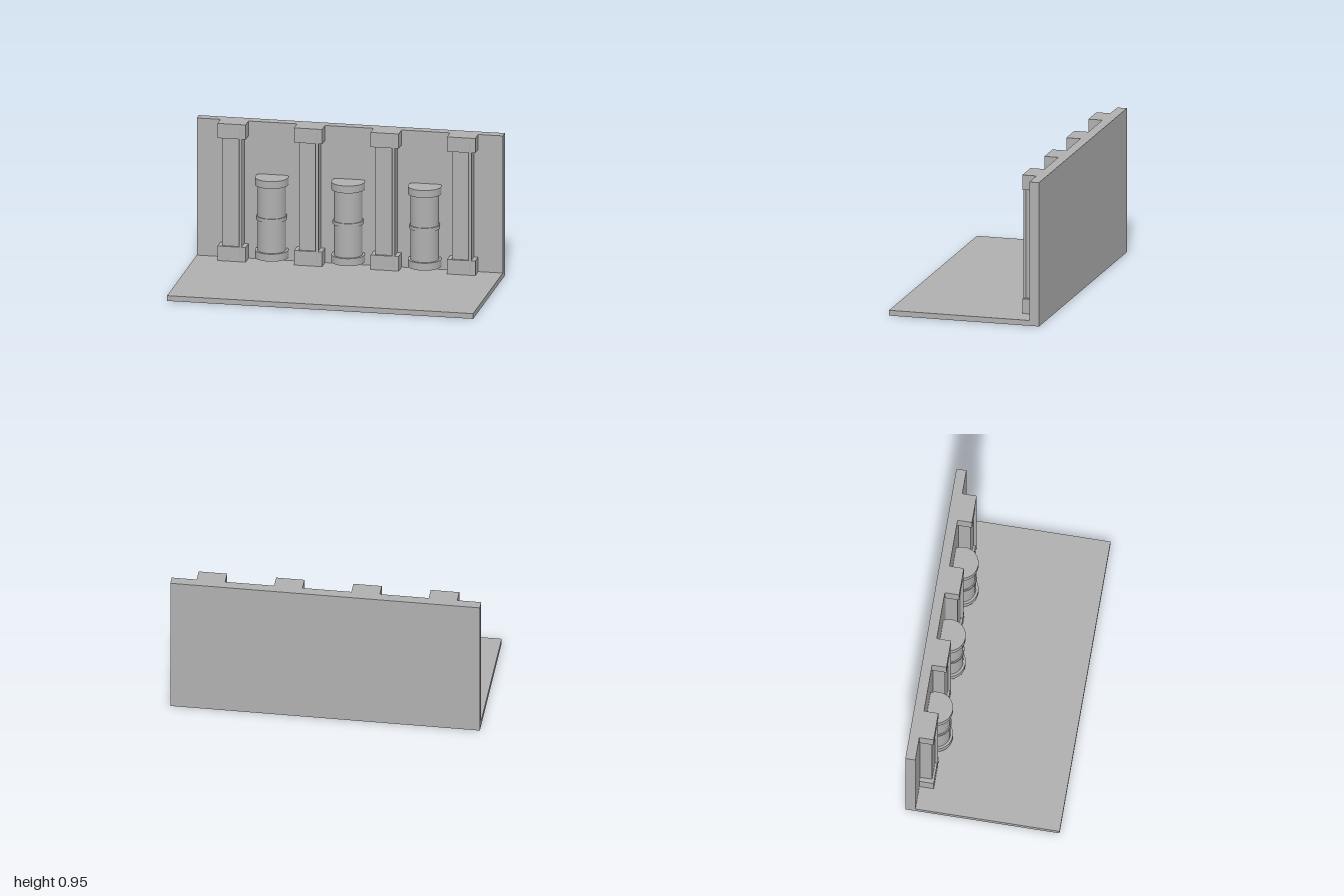
import * as THREE from 'three';

export function createModel() {
  const model = new THREE.Group();
  const stone = new THREE.MeshStandardMaterial({ color: 0xb0b0b0 });
  stone.name = 'grey stone';

  // Box given by its minimum and maximum corners
  function box(parent, name, [x0, y0, z0], [x1, y1, z1]) {
    const mesh = new THREE.Mesh(new THREE.BoxGeometry(x1 - x0, y1 - y0, z1 - z0), stone);
    mesh.position.set((x0 + x1) / 2, (y0 + y1) / 2, (z0 + z1) / 2);
    mesh.name = name;
    parent.add(mesh);
  }

  // Upright cylinder between two heights
  function drum(parent, name, radius, y0, y1, x, z, sides) {
    const mesh = new THREE.Mesh(new THREE.CylinderGeometry(radius, radius, y1 - y0, sides), stone);
    mesh.position.set(x, (y0 + y1) / 2, z);
    mesh.name = name;
    parent.add(mesh);
  }

  // Floor slab and back wall
  box(model, 'floor', [-1, 0, -0.5], [1, 0.035, 0.5]);
  box(model, 'backWall', [-1, 0, -0.5], [1, 0.95, -0.435]);

  // Square pilasters with a thin pipe up the right of each
  for (const x of [-0.753, -0.253, 0.247, 0.747]) {
    const pilaster = new THREE.Group();
    pilaster.name = 'pilaster';
    pilaster.position.x = x;
    box(pilaster, 'base', [-0.092, 0.035, -0.44], [0.092, 0.132, -0.342]);
    box(pilaster, 'shaft', [-0.064, 0.132, -0.44], [0.064, 0.852, -0.357]);
    box(pilaster, 'capital', [-0.092, 0.852, -0.44], [0.092, 0.95, -0.342]);
    drum(pilaster, 'pipe', 0.01, 0.06, 0.925, 0.058, -0.348, 12);
    model.add(pilaster);
  }

  // Round tanks half set into the wall
  for (const x of [-0.5, 0, 0.5]) {
    const tank = new THREE.Group();
    tank.name = 'tank';
    tank.position.x = x;
    drum(tank, 'tankBody', 0.092, 0.117, 0.553, 0, -0.383, 24);
    drum(tank, 'bottomRim', 0.108, 0.068, 0.117, 0, -0.383, 24);
    drum(tank, 'middleBand', 0.099, 0.323, 0.347, 0, -0.383, 24);
    drum(tank, 'topRim', 0.108, 0.553, 0.602, 0, -0.383, 24);
    model.add(tank);
  }
  return model;
}
